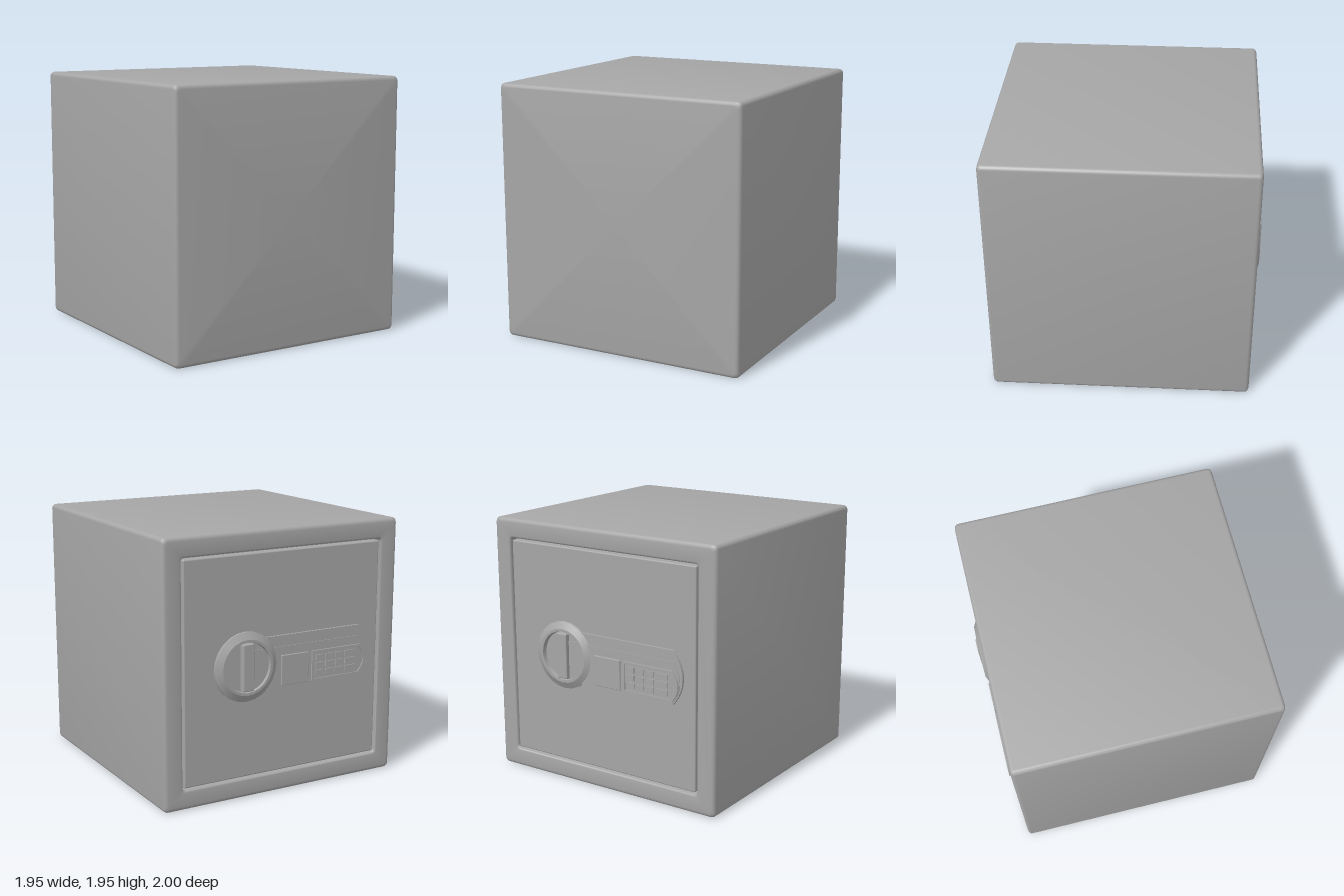
import * as THREE from 'three';
import { toCreasedNormals } from 'three/addons/utils/BufferGeometryUtils.js';
import { RoundedBoxGeometry } from 'three/addons/geometries/RoundedBoxGeometry.js';

const steel = new THREE.MeshStandardMaterial({ color: 0xa6a6a6 });
steel.name = 'grey steel';

function add(parent, name, geometry, x = 0, y = 0, z = 0) {
  const mesh = new THREE.Mesh(geometry, steel);
  mesh.name = name;
  mesh.position.set(x, y, z);
  parent.add(mesh);
  return mesh;
}

// Rounded square outline, counter-clockwise from +z
function ring(half, radius, z) {
  const points = [], steps = 5, c = half - radius;
  for (let q = 0; q < 4; q++) {
    const mid = Math.PI / 4 + q * Math.PI / 2;
    for (let i = 0; i <= steps; i++) {
      const a = q * Math.PI / 2 + (i / steps) * Math.PI / 2;
      points.push([
        Math.sign(Math.cos(mid)) * c + Math.cos(a) * radius,
        Math.sign(Math.sin(mid)) * c + Math.sin(a) * radius, z]);
    }
  }
  return points;
}

// Skin joining successive rings
function skin(rings) {
  const n = rings[0].length, index = [];
  for (let r = 0; r < rings.length - 1; r++) {
    for (let j = 0; j < n; j++) {
      const a = r * n + j, b = r * n + (j + 1) % n;
      index.push(a, a + n, b, b, a + n, b + n);
    }
  }
  const g = new THREE.BufferGeometry();
  g.setAttribute('position', new THREE.Float32BufferAttribute(rings.flat(2), 3));
  g.setIndex(index);
  return toCreasedNormals(g, 0.6);
}

// Cabinet with rounded edges and a shallow door opening at -z
function cabinetGeometry() {
  const H = 0.975, R = 0.03, rings = [ring(0.001, 0.0005, 1)];
  const arc = (t) => [Math.cos(t) * R, Math.sin(t) * R];
  for (let i = 4; i >= 0; i--) {
    const [c, s] = arc(i * Math.PI / 8);
    rings.push(ring(H - R + c, R + 0.002, 1 - R + s));
  }
  for (let i = 0; i <= 4; i++) {
    const [c, s] = arc(i * Math.PI / 8);
    rings.push(ring(H - R + c, R + 0.002, -0.95 + R - s));
  }
  for (let i = 0; i <= 3; i++) {
    const t = i * Math.PI / 6;
    rings.push(ring(0.845 - 0.015 * Math.sin(t), 0.025, -0.935 - 0.015 * Math.cos(t)));
  }
  rings.push(ring(0.83, 0.025, -0.88), ring(0.001, 0.0005, -0.88));
  return skin(rings);
}

// Flat plate with a curved right end, optionally with a hole
function plate(x0, x1, y0, y1, bulge, depth, border = 0) {
  const outline = (path, d) => {
    path.moveTo(x0 + d, y0 + d);
    path.lineTo(x1 - d, y0 + d);
    path.quadraticCurveTo(x1 - d + bulge * 2, (y0 + y1) / 2, x1 - d, y1 - d);
    path.lineTo(x0 + d, y1 - d);
    path.closePath();
    return path;
  };
  const shape = outline(new THREE.Shape(), 0);
  if (border) shape.holes.push(outline(new THREE.Path(), border));
  return new THREE.ExtrudeGeometry(shape, { depth, bevelEnabled: false, curveSegments: 12 });
}

export function createModel() {
  const model = new THREE.Group();
  model.name = 'safe';
  add(model, 'cabinet', cabinetGeometry(), 0, 0.975, 0);

  // Door assembly, turned so its local +z points out of the door
  const door = new THREE.Group();
  door.name = 'door';
  door.position.set(0, 0.985, -0.945);
  door.rotation.y = Math.PI;
  model.add(door);
  add(door, 'doorPanel', new RoundedBoxGeometry(1.63, 1.63, 0.08, 3, 0.01), 0, -0.01, -0.04);

  // Lock plate in two steps
  add(door, 'lockPlate', plate(-0.3, 0.64, -0.2, 0.195, 0.08, 0.018));
  add(door, 'lockPlateFace', plate(-0.3, 0.64, -0.19, 0.115, 0.06, 0.023));

  // Display and keypad
  add(door, 'display', new RoundedBoxGeometry(0.23, 0.225, 0.034, 2, 0.004), 0.075, -0.063, 0.017);
  add(door, 'keypadRim', plate(0.22, 0.64, -0.175, 0.05, 0.05, 0.035, 0.014));
  add(door, 'keypadFloor', plate(0.22, 0.64, -0.175, 0.05, 0.05, 0.027));
  for (let row = 0; row < 3; row++) {
    for (let col = 0; col < 4; col++) {
      const w = col === 3 ? 0.09 : 0.06;
      add(door, 'key', new THREE.BoxGeometry(w, 0.042, 0.012),
        0.285 + col * 0.085 + (w - 0.06) / 2, -0.005 - row * 0.057, 0.029);
    }
  }

  // Dial: dished ring with an upright grip bar
  const profile = [[0.255, 0], [0.255, 0.018], [0.205, 0.045], [0.185, 0.045], [0.18, 0.012], [0, 0.012]]
    .map(([r, y]) => new THREE.Vector2(r, y));
  const dialGeometry = toCreasedNormals(new THREE.LatheGeometry(profile, 24), 0.4);
  add(door, 'dial', dialGeometry, -0.325, 0, 0).rotation.x = Math.PI / 2;
  add(door, 'dialGrip', new RoundedBoxGeometry(0.09, 0.345, 0.055, 2, 0.008), -0.325, 0, 0.0275);

  return model;
}
